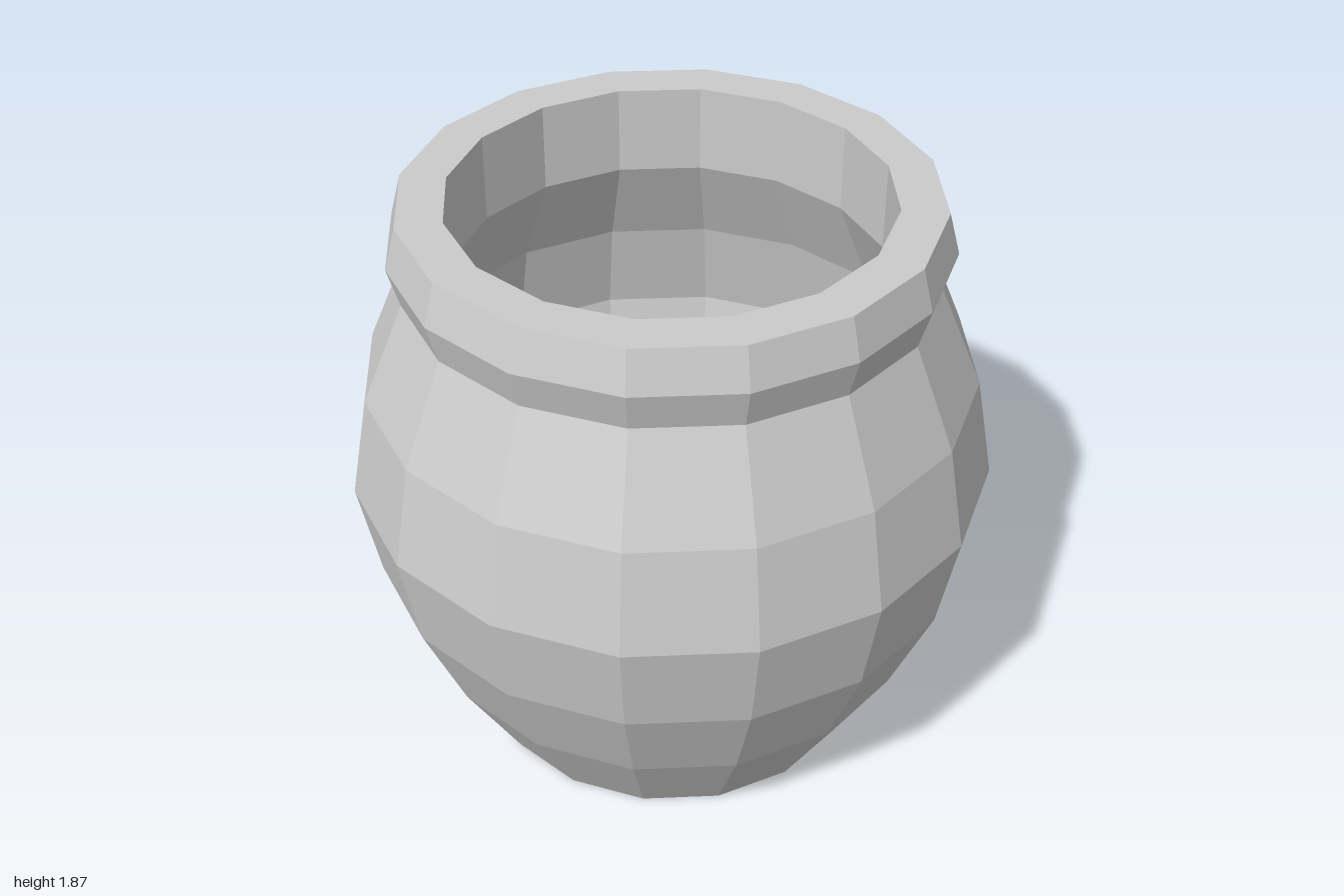
import * as THREE from 'three';

const SIDES = 16;

// Low-poly ring surface turned from a [radius, height] profile
function turned(name, profile, material) {
  const points = profile.map(([r, y]) => new THREE.Vector2(r, y));
  const mesh = new THREE.Mesh(new THREE.LatheGeometry(points, SIDES), material);
  mesh.name = name;
  return mesh;
}

export function createModel() {
  const group = new THREE.Group();
  group.name = 'pot';
  const clay = new THREE.MeshStandardMaterial({ color: 0xcccccc, flatShading: true });

  // Base and bulging outer wall
  group.add(turned('outerBody', [
    [0, 0], [0.62, 0], [0.805, 0.325], [0.94, 0.65],
    [1, 0.97], [0.94, 1.295], [0.805, 1.615],
  ], clay));

  // Collar around the neck with its flat top
  group.add(turned('rim', [
    [0.805, 1.615], [0.84, 1.74], [0.805, 1.87], [0.665, 1.87],
  ], clay));

  // Hollow inside: straight neck, bulging wall and floor, from top to bottom
  group.add(turned('innerWall', [
    [0.665, 1.87], [0.665, 1.59], [0.8, 1.28], [0.86, 0.97],
    [0.8, 0.66], [0.67, 0.35], [0.41, 0.01], [0, 0.01],
  ], clay));

  return group;
}
